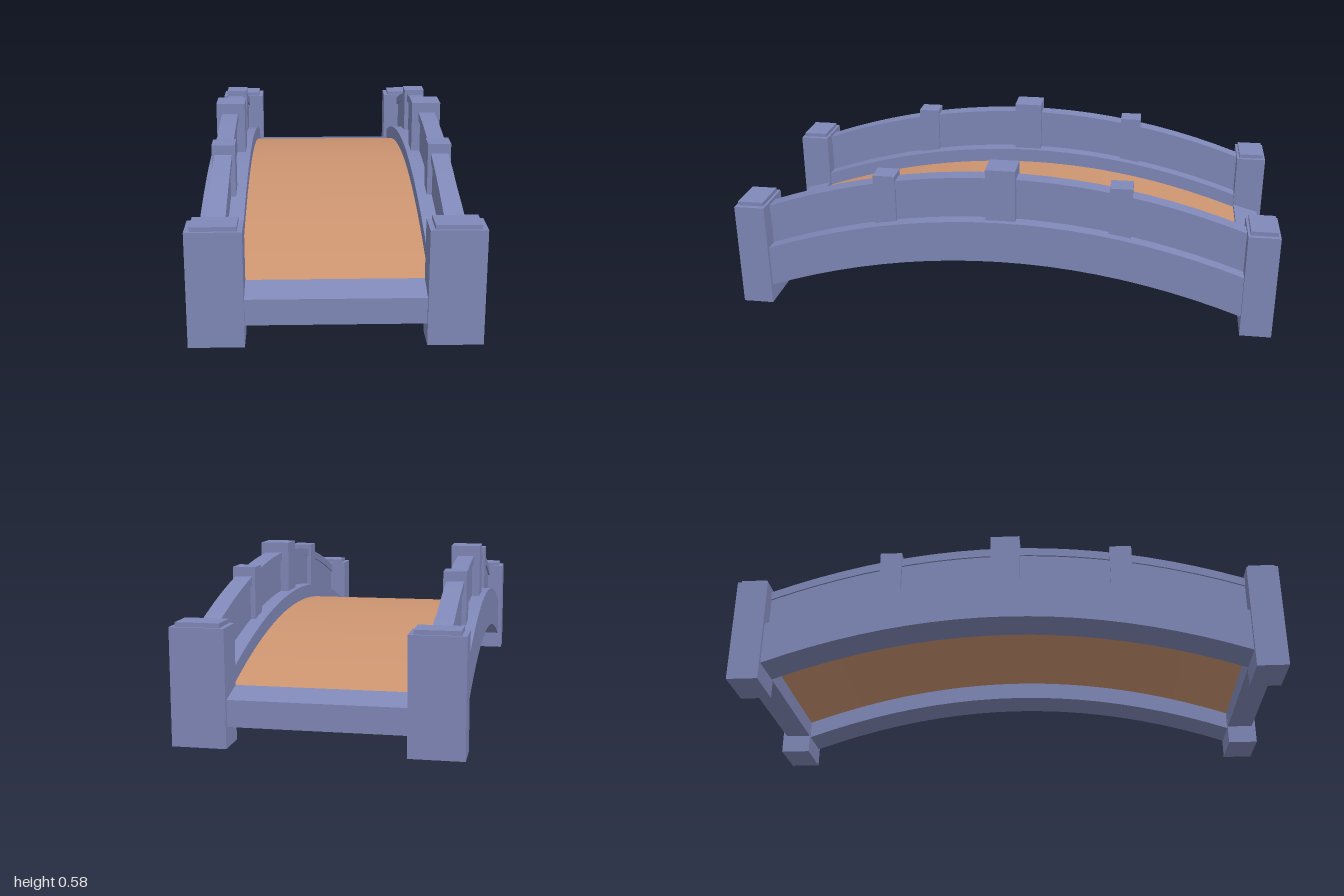
import * as THREE from 'three';

const stone = new THREE.MeshStandardMaterial({ color: 0x8088b8 });
const plank = new THREE.MeshStandardMaterial({ color: 0xcc9470 });
const HALF = 0.89; // half length of the arched span
const arch = (crown, z) => crown - 0.203 * z * z;

function add(parent, name, geometry, material = stone) {
  const mesh = new THREE.Mesh(geometry, material);
  mesh.name = name;
  parent.add(mesh);
}

// Side profile of [z, y] points extruded from x0 to x1
function profile(points, x0, x1) {
  const shape = new THREE.Shape(points.map(([z, y]) => new THREE.Vector2(z, y)));
  return new THREE.ExtrudeGeometry(shape, { depth: x1 - x0, bevelEnabled: false })
    .rotateY(-Math.PI / 2).translate(x1, 0, 0);
}

// Arched band between two crown heights
function band(x0, x1, low, high, segments = 20) {
  const upper = [], lower = [];
  for (let i = 0; i <= segments; i++) {
    const z = HALF * (2 * i / segments - 1);
    upper.unshift([z, arch(high, z)]);
    lower.push([z, arch(low, z)]);
  }
  return profile([...lower, ...upper], x0, x1);
}

function block(x0, x1, y0, y1, z0, z1) {
  return new THREE.BoxGeometry(x1 - x0, y1 - y0, z1 - z0)
    .translate((x0 + x1) / 2, (y0 + y1) / 2, (z0 + z1) / 2);
}

// x range for one side of the bridge
const span = (s, a, b) => (s > 0 ? [a, b] : [-b, -a]);

export function createModel() {
  const bridge = new THREE.Group();
  bridge.name = 'archedBridge';

  // Thin walkway
  add(bridge, 'deck', band(-0.312, 0.312, 0.295, 0.33, 32), plank);

  for (const s of [1, -1]) {
    const side = new THREE.Group();
    side.name = s > 0 ? 'leftSide' : 'rightSide';
    bridge.add(side);

    // Girder, parapet wall and overhanging coping
    add(side, 'girder', band(...span(s, 0.31, 0.463), 0.228, 0.385));
    add(side, 'parapetWall', band(...span(s, 0.363, 0.412), 0.38, 0.512));
    add(side, 'coping', band(...span(s, 0.356, 0.419), 0.51, 0.541));

    // Piers rising through the parapet
    add(side, 'centrePier', block(...span(s, 0.33, 0.441), 0.37, 0.58, -0.055, 0.055));
    for (const e of [1, -1]) {
      add(side, 'pier', block(...span(s, 0.345, 0.428), 0.33, 0.53, e * 0.435 - 0.041, e * 0.435 + 0.041));

      // Corner posts with low caps
      add(side, 'cornerPost', block(...span(s, 0.295, 0.479), 0, 0.395, e * 0.943 - 0.057, e * 0.943 + 0.057));
      add(side, 'postCap', block(...span(s, 0.312, 0.461), 0.395, 0.41, e * 0.943 - 0.048, e * 0.943 + 0.048));
    }
  }

  // Threshold beams with sloping tops
  for (const e of [1, -1]) {
    const section = [[0.887, 0.07], [0.985, 0.07], [0.985, 0.16], [0.887, 0.187]];
    add(bridge, e > 0 ? 'frontThreshold' : 'backThreshold',
      profile(section.map(([z, y]) => [e * z, y]), -0.3, 0.3));
  }
  return bridge;
}
